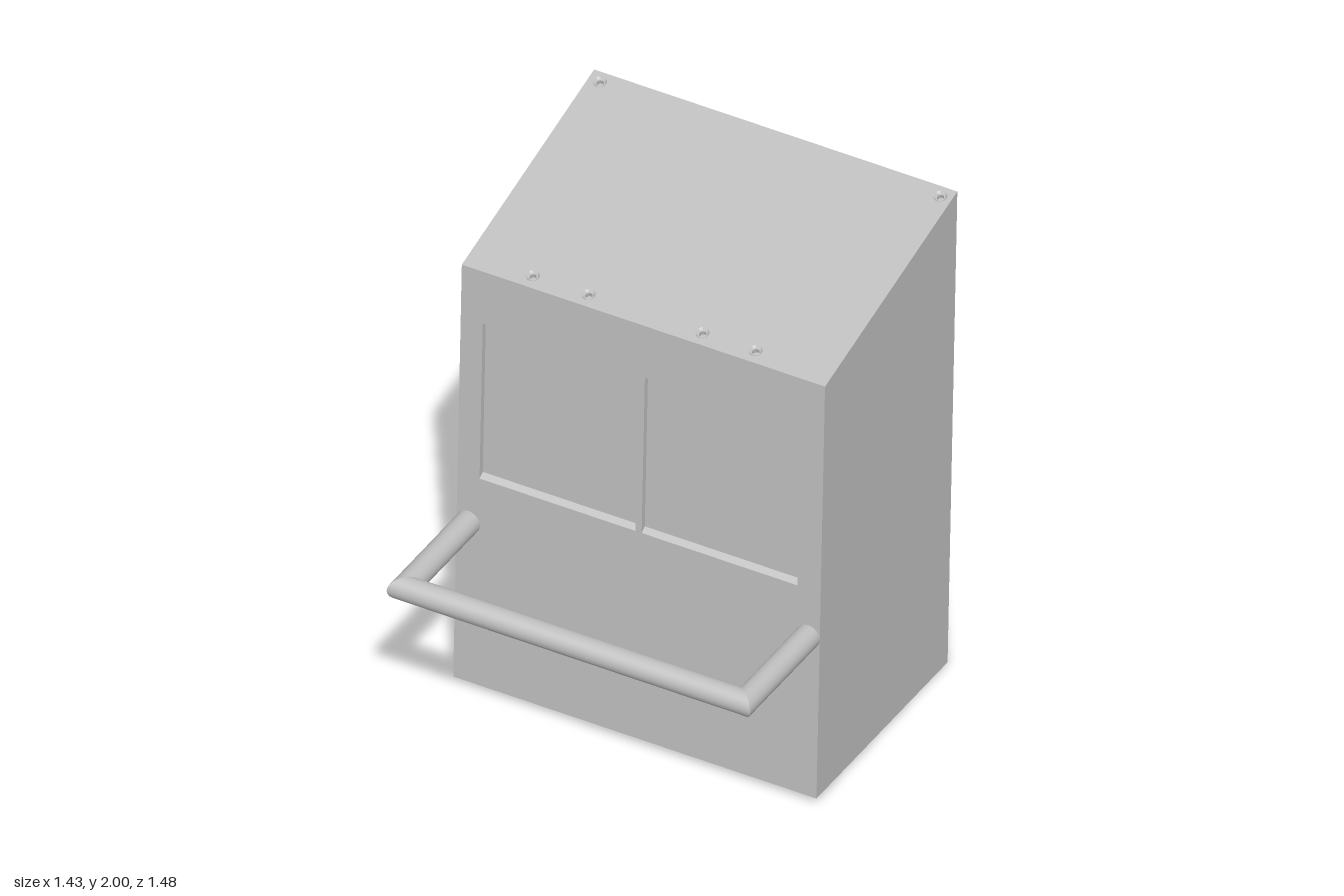
import * as THREE from 'three';
import { toCreasedNormals } from 'three/addons/utils/BufferGeometryUtils.js';

const W = 0.717;              // half width of the cabinet
const D = 0.936;              // depth
const HF = 1.751, HB = 2.001; // front and back heights
const SLOPE = Math.hypot(D, HB - HF);
const V = (x, y, z) => new THREE.Vector3(x, y, z);

export function createModel() {
  const model = new THREE.Group();
  model.name = 'cabinetWithHandle';
  const grey = new THREE.MeshStandardMaterial({ color: 0xc0c0c0, side: THREE.DoubleSide });
  grey.name = 'light grey';

  // Everything is built upright, then leaned back by two degrees
  const body = new THREE.Group();
  body.name = 'leaningBody';
  body.rotation.x = THREE.MathUtils.degToRad(-2);
  body.position.z = -0.67;
  model.add(body);

  const add = (parent, name, geometry) => {
    const mesh = new THREE.Mesh(geometry, grey);
    mesh.name = name;
    parent.add(mesh);
    return mesh;
  };

  // A flat wall with holes, in its own frame: x and y in the wall, z outward
  const wall = (name, points, holes, origin, xAxis, yAxis) => {
    const group = new THREE.Group();
    group.name = name;
    const zAxis = xAxis.clone().cross(yAxis);
    new THREE.Matrix4().makeBasis(xAxis, yAxis, zAxis).setPosition(origin)
      .decompose(group.position, group.quaternion, group.scale);
    const shape = new THREE.Shape(points.map(([x, y]) => new THREE.Vector2(x, y)));
    shape.holes = holes;
    add(group, name + 'Panel', new THREE.ShapeGeometry(shape, 16));
    body.add(group);
    return group;
  };
  const roundHole = (x, y, r) => new THREE.Path().absarc(x, y, r, 0, Math.PI * 2, true);
  const rect = (h) => [[-W, 0], [W, 0], [W, h], [-W, h]];

  // A turned pocket sunk into a wall, profile from rim to centre
  const pocket = (parent, name, x, y, profile) => {
    const lathe = new THREE.LatheGeometry(profile.map(([r, h]) => new THREE.Vector2(r, h)), 32);
    const mesh = add(parent, name, toCreasedNormals(lathe.rotateX(Math.PI / 2), 0.6));
    mesh.position.set(x, y, 0);
  };
  const SCREW = [[0.025, 0], [0.017, -0.008], [0.013, -0.008], [0.013, -0.025], [0, -0.025]];
  const screwWall = (name, depth, spots, origin, yAxis) => {
    const holes = spots.map(([x, y]) => roundHole(x, y, 0.025));
    const group = wall(name, rect(depth), holes, origin, V(1, 0, 0), yAxis);
    spots.forEach(([x, y]) => pocket(group, 'screwSocket', x, y, SCREW));
  };

  // Sloping top and base with countersunk screws
  screwWall('top', SLOPE,
    [[-0.465, 0.052], [-0.245, 0.052], [0.205, 0.052], [0.415, 0.052],
      [-0.672, SLOPE - 0.042], [0.672, SLOPE - 0.042]],
    V(0, HF, D), V(0, HB - HF, -D).normalize());
  screwWall('base', D,
    [[-0.672, 0.042], [0.672, 0.042], [-0.672, D - 0.042], [0.672, D - 0.042]],
    V(0, 0, 0), V(0, 0, 1));

  // Back and the two sides, one with a cable port
  wall('back', rect(HB), [], V(0, 0, 0), V(-1, 0, 0), V(0, 1, 0));
  wall('plainSide', [[0, 0], [D, 0], [D, HB], [0, HF]], [],
    V(W, 0, D), V(0, 0, -1), V(0, 1, 0));
  const port = [0.19, 1.745];
  const portSide = wall('portSide', [[0, 0], [D, 0], [D, HF], [0, HB]], [roundHole(...port, 0.07)],
    V(-W, 0, 0), V(0, 0, 1), V(0, 1, 0));
  pocket(portSide, 'cablePort', ...port, [[0.07, 0], [0.07, -0.12], [0, -0.12]]);

  // Front with two shallow window recesses, each with a sloping sill
  const windows = [[-0.63, -0.015], [0.01, 0.625]];
  const Y0 = 0.873, Y1 = 1.533, SILL = 0.015, DEPTH = 0.022;
  const corners = (x0, x1, y0, z) =>
    [V(x0, y0, z), V(x1, y0, z), V(x1, Y1, z), V(x0, Y1, z)];
  const front = wall('front', rect(HF),
    windows.map(([x0, x1]) => new THREE.Path(
      corners(x0, x1, Y0, 0).reverse().map((p) => new THREE.Vector2(p.x, p.y))).closePath() || null)
      .map((path, i) => path || new THREE.Path(
        corners(...windows[i], Y0, 0).reverse().map((p) => new THREE.Vector2(p.x, p.y)))),
    V(0, 0, D), V(1, 0, 0), V(0, 1, 0));
  windows.forEach(([x0, x1]) => {
    const outer = corners(x0, x1, Y0, 0);
    const inner = corners(x0, x1, Y0 + SILL, -DEPTH);
    const tris = [];
    const quad = (a, b, c, d) => tris.push(a, b, c, a, c, d);
    for (let k = 0; k < 4; k++) {
      const n = (k + 1) % 4;
      quad(outer[k], outer[n], inner[n], inner[k]);
    }
    quad(...inner);
    const geometry = new THREE.BufferGeometry().setFromPoints(tris);
    geometry.computeVertexNormals();
    add(front, 'windowRecess', geometry);
  });

  // Push handle: round bars with mitred corners
  const handle = new THREE.Group();
  handle.name = 'handle';
  handle.position.set(0, 0.674, 0);
  body.add(handle);
  const R = 0.046, AX = 0.671, Z0 = 0.92, Z1 = 1.389;
  const bar = new THREE.CylinderGeometry(R, R, 2 * AX, 32, 1, true).rotateZ(Math.PI / 2);
  const bp = bar.attributes.position;
  for (let i = 0; i < bp.count; i++) bp.setX(i, Math.sign(bp.getX(i)) * (AX + bp.getZ(i)));
  add(handle, 'handleBar', bar).position.z = Z1;
  for (const side of [-1, 1]) {
    const arm = new THREE.CylinderGeometry(R, R, Z1 - Z0, 32, 1, true).rotateX(Math.PI / 2);
    const ap = arm.attributes.position;
    for (let i = 0; i < ap.count; i++) {
      if (ap.getZ(i) > 0) ap.setZ(i, ap.getZ(i) + side * ap.getX(i));
    }
    add(handle, 'handleArm', arm).position.set(side * AX, 0, (Z0 + Z1) / 2);
  }

  return model;
}
